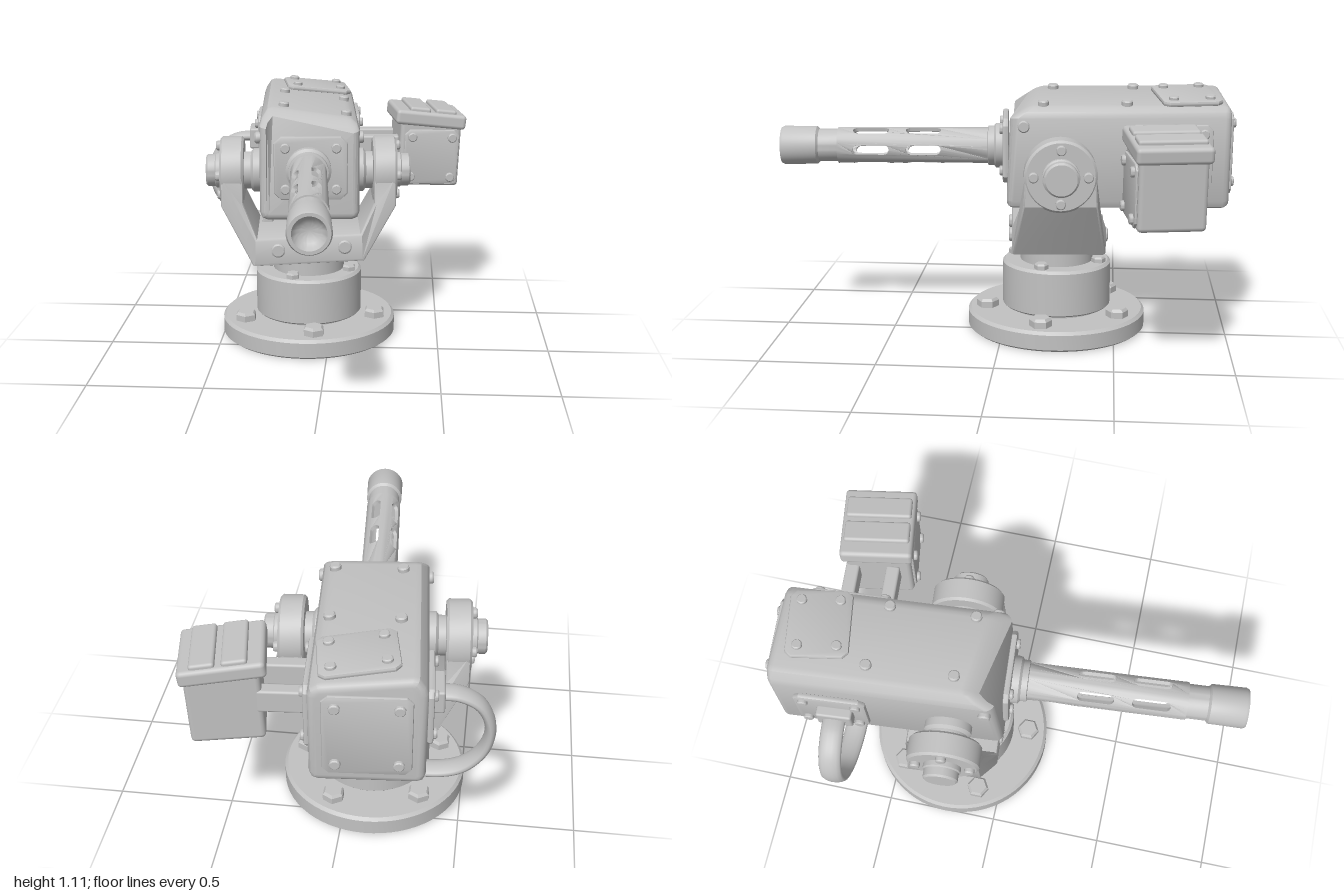
import * as THREE from 'three';
import { mergeGeometries, toCreasedNormals } from 'three/addons/utils/BufferGeometryUtils.js';
import { RoundedBoxGeometry } from 'three/addons/geometries/RoundedBoxGeometry.js';

const metal = new THREE.MeshStandardMaterial({ color: 0xc2c2c2 });
metal.name = 'grey metal';
const V = (x, y, z) => new THREE.Vector3(x, y, z);
const UP = V(0, 1, 0), FRONT = V(0, 0, 1);

function add(parent, name, geometry, x = 0, y = 0, z = 0) {
  const mesh = new THREE.Mesh(geometry, metal);
  mesh.name = name;
  mesh.position.set(x, y, z);
  parent.add(mesh);
  return mesh;
}

const box = (w, h, d, r = 0.01) => new RoundedBoxGeometry(w, h, d, 2, r);

function lathe(points, segments = 48) {
  const g = new THREE.LatheGeometry(points.map(p => new THREE.Vector2(p[0], p[1])), segments);
  return toCreasedNormals(g, 0.5);
}

// Bolt head standing on a surface that faces dir
function bolt(parent, pos, dir, r = 0.024, h = 0.02, sides = 14) {
  const g = lathe([[r, -0.005], [r, h * 0.7], [r * 0.8, h], [0, h]], sides);
  const m = add(parent, 'bolt', g, pos.x, pos.y, pos.z);
  m.quaternion.setFromUnitVectors(UP, dir);
}

function extrude(points, depth, bevel, segments = 3) {
  const shape = new THREE.Shape(points.map(p => new THREE.Vector2(p[0], p[1])));
  const g = new THREE.ExtrudeGeometry(shape, {
    depth: depth - 2 * bevel, bevelEnabled: true, bevelSize: bevel,
    bevelThickness: bevel, bevelOffset: -bevel, bevelSegments: segments
  });
  g.translate(0, 0, bevel);
  return g;
}

// Corner-cut cover plate with a bolt in each corner
function plate(parent, name, w, h, t, pos, dir, inset = 0.05, cut = 0.025) {
  const group = new THREE.Group();
  group.name = name;
  const a = w / 2, b = h / 2;
  add(group, name + 'Panel', toCreasedNormals(extrude([
    [-a + cut, -b], [a - cut, -b], [a, -b + cut], [a, b - cut],
    [a - cut, b], [-a + cut, b], [-a, b - cut], [-a, -b + cut]], t, 0.008, 2), 0.6));
  for (const sx of [-1, 1]) for (const sy of [-1, 1])
    bolt(group, V(sx * (a - inset), sy * (b - inset), t), FRONT, 0.022, 0.015);
  group.position.copy(pos);
  group.quaternion.setFromUnitVectors(FRONT, dir);
  parent.add(group);
}

// Hollow slotted sleeve: five flat staves bent round the barrel axis
function slottedSleeve(R, wall, z0, z1, slots, width) {
  const half = Math.PI / 5 * R, n = 6, pts = [];
  for (let i = 0; i <= n; i++) pts.push(new THREE.Vector2(-half + 2 * half * i / n, z0));
  for (let i = 0; i <= n; i++) pts.push(new THREE.Vector2(half - 2 * half * i / n, z1));
  const shape = new THREE.Shape(pts), r = width / 2;
  for (const [a, b] of slots) {
    const hole = new THREE.Path();
    hole.absarc(0, a + r, r, 0, -Math.PI, true);
    hole.absarc(0, b - r, r, Math.PI, 0, true);
    hole.closePath();
    shape.holes.push(hole);
  }
  const stave = new THREE.ExtrudeGeometry(shape, { depth: wall, bevelEnabled: false, curveSegments: 8 });
  const p = stave.attributes.position;
  for (let i = 0; i < p.count; i++) {
    const ang = -p.getX(i) / R, rad = R - wall + p.getZ(i);
    p.setXYZ(i, rad * Math.sin(ang), rad * Math.cos(ang), p.getY(i));
  }
  const all = [];
  for (let i = 0; i < 5; i++) all.push(stave.clone().rotateZ(-0.42 - i * Math.PI * 0.4));
  return toCreasedNormals(mergeGeometries(all), 0.6);
}

function buildBase(g) {
  add(g, 'baseDisc', lathe([[0, 0.005], [0.39, 0.005], [0.403, 0.015], [0.403, 0.082], [0.39, 0.095], [0, 0.095]], 64));
  add(g, 'baseRing', lathe([[0.21, 0.09], [0.21, 0.12]]));
  add(g, 'drum', lathe([[0, 0.11], [0.238, 0.11], [0.245, 0.117], [0.245, 0.308], [0.233, 0.32], [0, 0.32]], 64));
  add(g, 'neck', lathe([[0.165, 0.31], [0.165, 0.42]]));
  for (let i = 0; i < 5; i++) {
    const a = 0.14 + i * Math.PI * 0.4;
    bolt(g, V(0.315 * Math.sin(a), 0.095, 0.315 * Math.cos(a)), UP, 0.05, 0.04, 6);
  }
  for (let i = 0; i < 4; i++) {
    const a = -0.3 + i * Math.PI / 2;
    bolt(g, V(0.2 * Math.sin(a), 0.32, 0.2 * Math.cos(a)), UP, 0.032, 0.026, 6);
  }
}

function buildYoke(g) {
  // U-shaped fork, wider at the foot and narrower at the arms
  const right = [[0.25, 0.39], [0.395, 0.65], [0.395, 0.78], [0.295, 0.78], [0.295, 0.66], [0.232, 0.52]];
  const left = right.map(([x, y]) => [-x, y]).reverse();
  const fork = extrude([...right, ...left], 0.41, 0.012, 2);
  fork.translate(0, 0, -0.205);
  const p = fork.attributes.position;
  for (let i = 0; i < p.count; i++) {
    const t = THREE.MathUtils.smoothstep(p.getY(i), 0.5, 0.7);
    p.setZ(i, p.getZ(i) * (1 - 0.26 * t));
    if (p.getY(i) < 0.6) p.setY(i, p.getY(i) + 0.05 * p.getX(i));
  }
  add(g, 'fork', toCreasedNormals(fork, 0.5));
  for (const s of [-1, 1]) {
    const dir = V(s, 0, 0);
    // Round arm head, inner hub and outer cap on one axle
    const axle = add(g, 'armHead', lathe([[0, 0.293], [0.145, 0.293], [0.155, 0.303],
      [0.155, 0.39], [0.145, 0.4], [0, 0.4]]), 0, 0.78, 0);
    axle.quaternion.setFromUnitVectors(UP, dir);
    add(axle, 'hub', lathe([[0.1, 0.2], [0.1, 0.25], [0.085, 0.262], [0.085, 0.3]]));
    add(axle, 'axleCap', lathe([[0.08, 0.395], [0.08, 0.42], [0.074, 0.425], [0.074, 0.458], [0.066, 0.466], [0, 0.466]]));
    for (let i = 0; i < 4; i++) {
      const a = i * Math.PI / 2;
      bolt(g, V(s * 0.4, 0.78 + 0.115 * Math.cos(a), 0.115 * Math.sin(a)), dir, 0.022, 0.02);
    }
    for (const f of [-1, 1])
      bolt(g, V(s * 0.15 + 0.012, 0.464 + s * 0.008, f * 0.203), V(0, 0, f), 0.032, 0.015);
    const strut = add(g, 'strut', box(0.05, 0.18, 0.06), s * 0.195 + 0.01, 0.57, -0.1);
    strut.rotation.z = s * 0.12;
  }
}

function buildBody(g) {
  // Housing: section with chamfered roof leaning to one side, front top edge swept back
  const body = extrude([[-0.222, 0.635], [-0.212, 0.61], [-0.187, 0.6], [0.187, 0.6], [0.212, 0.61],
    [0.222, 0.635], [0.222, 1.0], [0.212, 1.025], [0.185, 1.045], [0.165, 1.05],
    [-0.165, 1.086], [-0.188, 1.08], [-0.212, 1.045], [-0.222, 1.015]], 0.965, 0.03, 4);
  body.translate(0, 0, -0.738);
  const p = body.attributes.position;
  for (let i = 0; i < p.count; i++)
    if (p.getZ(i) > 0) p.setZ(i, p.getZ(i) - Math.max(0, p.getY(i) - 0.985) * 1.4);
  add(g, 'housing', toCreasedNormals(body, 0.45), 0.005, 0, 0);
  const roofY = x => 1.069 - 0.109 * x, roofDir = V(0.109, 1, 0).normalize();
  plate(g, 'frontPlate', 0.325, 0.285, 0.025, V(0.01, 0.843, 0.22), FRONT, 0.05, 0.03);
  plate(g, 'backPlate', 0.34, 0.36, 0.02, V(0.005, 0.835, -0.733), V(0, 0, -1));
  plate(g, 'topPlate', 0.31, 0.26, 0.022, V(0.045, roofY(0.045) - 0.002, -0.56), roofDir);
  plate(g, 'leftPlate', 0.36, 0.29, 0.025, V(0.225, 0.83, -0.475), V(1, 0, 0), 0.04);
  plate(g, 'rightPlate', 0.3, 0.26, 0.025, V(-0.217, 0.83, -0.49), V(-1, 0, 0), 0.04);
  for (const s of [-1, 1]) {
    for (const z of [-0.315, 0.045]) {
      const x = s * 0.14 + 0.03;
      bolt(g, V(x, roofY(x), z + s * 0.025), roofDir);
    }
    bolt(g, V(s * 0.222 + 0.005, 0.965, 0.155), V(s, 0, 0), 0.026);
  }
}

function buildBarrel(g) {
  const barrel = new THREE.Group();
  barrel.name = 'barrel';
  barrel.position.y = 0.84;
  g.add(barrel);
  const turned = pts => lathe(pts).rotateX(Math.PI / 2);
  add(barrel, 'collar', turned([[0.1, 0.22], [0.1, 0.275], [0.088, 0.285], [0.088, 0.31], [0.07, 0.315], [0, 0.315]]));
  add(barrel, 'slottedSleeve', slottedSleeve(0.08, 0.016, 0.3, 0.98, [[0.52, 0.675], [0.75, 0.91]], 0.044));
  add(barrel, 'muzzle', turned([[0, 0.97], [0.073, 0.97], [0.073, 1.065], [0.084, 1.075], [0.086, 1.22],
    [0.08, 1.232], [0.066, 1.232], [0.059, 1.215], [0.047, 1.2], [0.03, 1.19], [0, 1.185]]));
}

function buildAmmoBox(g) {
  const ammo = new THREE.Group(), lid = new THREE.Group();
  ammo.name = 'ammoBox';
  ammo.position.set(0.573, 0.79, -0.416);
  ammo.rotation.set(0, 0.095, -0.045);
  g.add(ammo);
  add(ammo, 'box', box(0.295, 0.32, 0.28, 0.02));
  // Lid leaning outward, with two raised ribs
  lid.name = 'lid';
  lid.position.set(-0.004, 0.165, 0);
  lid.rotation.z = -0.07;
  ammo.add(lid);
  add(lid, 'lidPanel', box(0.34, 0.07, 0.31, 0.018));
  for (const x of [-0.055, 0.07]) add(lid, 'lidRib', box(0.1, 0.04, 0.28, 0.012), x, 0.033, 0);
  plate(ammo, 'boxPlate', 0.265, 0.265, 0.014, V(0.004, -0.015, 0.138), FRONT, 0.036);
  // Two bracket arms joining the box to the housing
  for (const z of [-0.515, -0.34]) add(g, 'bracketArm', box(0.22, 0.1, 0.06), 0.33, 0.82, z);
}

function buildHose(g) {
  // Flattened feed hose looping from the side to the underside
  const z = -0.45;
  const path = new THREE.CatmullRomCurve3([V(-0.24, 0.84, -0.01), V(-0.34, 0.835, -0.01), V(-0.425, 0.785, -0.01),
    V(-0.468, 0.68, -0.01), V(-0.445, 0.56, -0.008), V(-0.36, 0.468, -0.005), V(-0.24, 0.435, 0),
    V(-0.1, 0.455, 0.005), V(-0.02, 0.52, 0.008), V(0, 0.6, 0.01)]);
  add(g, 'feedHose', new THREE.TubeGeometry(path, 60, 0.023, 14), 0, 0, z).scale.z = 2.1;
  add(g, 'sideSocket', box(0.05, 0.1, 0.15), -0.26, 0.84, z - 0.02);
  add(g, 'bottomSocket', box(0.12, 0.04, 0.16), 0.01, 0.595, z + 0.02);
}

export function createModel() {
  const model = new THREE.Group();
  model.name = 'turret';
  const base = new THREE.Group(), head = new THREE.Group();
  base.name = 'base';
  head.name = 'head';
  for (const part of [base, head]) {
    part.position.set(-0.105, 0, -0.235);
    model.add(part);
  }
  head.rotation.y = 0.076;
  buildBase(base);
  buildYoke(head);
  buildBody(head);
  buildBarrel(head);
  buildAmmoBox(head);
  buildHose(head);
  return model;
}
